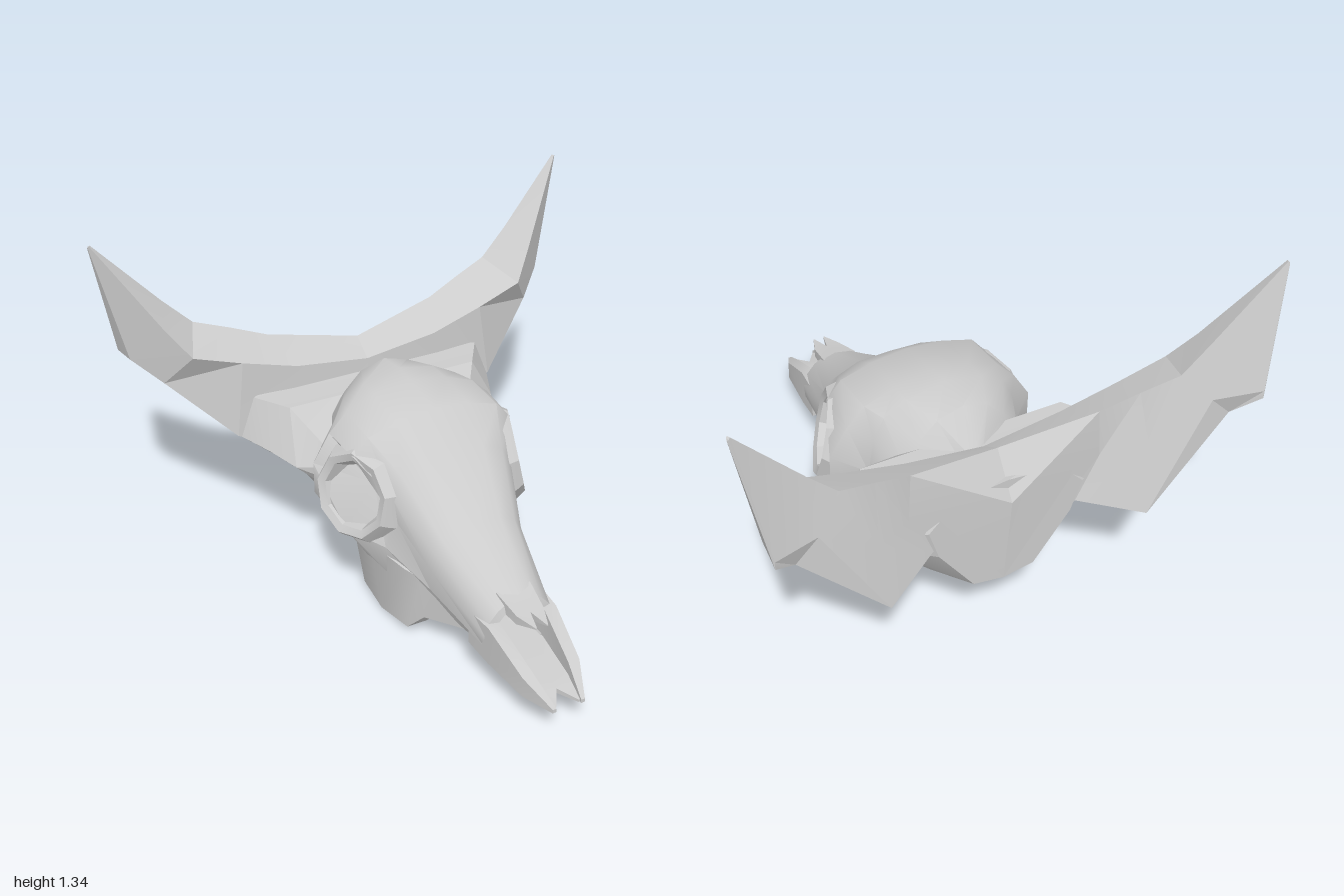
import * as THREE from 'three';
import { toCreasedNormals } from 'three/addons/utils/BufferGeometryUtils.js';

const material = new THREE.MeshStandardMaterial({ color: 0xcccccc, side: THREE.DoubleSide });

// Skin a row of equal-length rings of [x, y, z] points; rings run counter-clockwise about the direction of travel
function loft(rings, capStart = true) {
  const n = rings[0].length, pos = rings.flat(2), index = [];
  for (let i = 0; i < rings.length - 1; i++) {
    for (let j = 0; j < n; j++) {
      const k = (j + 1) % n, a = i * n + j, b = i * n + k, c = b + n, d = a + n;
      index.push(a, b, c, a, c, d);
    }
  }
  const cap = (r, flip) => {
    const centre = [0, 1, 2].map(k => rings[r].reduce((s, p) => s + p[k], 0) / n);
    const c = pos.length / 3;
    pos.push(...centre);
    for (let j = 0; j < n; j++) {
      const a = r * n + j, b = r * n + (j + 1) % n;
      index.push(...(flip ? [b, a, c] : [a, b, c]));
    }
  };
  if (capStart) cap(0, true);
  cap(rings.length - 1, false);
  const g = new THREE.BufferGeometry();
  g.setAttribute('position', new THREE.Float32BufferAttribute(pos, 3));
  g.setIndex(index);
  return g;
}

// Symmetric ring from a one-sided half profile listed top centre to bottom centre
const symmetricRing = (z, half) => [
  ...half.slice().reverse().map(([x, y]) => [x, y, z]),
  ...half.slice(1, -1).map(([x, y]) => [-x, y, z]),
];

// Four-sided ring for slim bones running along z
const barRing = ([z, xIn, xOut, yLow, yHigh, flare = 0]) => [
  [xIn, yLow, z], [xOut, yLow, z], [xOut + flare, yHigh, z], [xIn, yHigh, z],
];

function mirrored(geometry) {
  const g = geometry.clone().scale(-1, 1, 1), idx = g.index.array;
  for (let i = 0; i < idx.length; i += 3) [idx[i], idx[i + 1]] = [idx[i + 1], idx[i]];
  return g;
}

export function createModel() {
  const model = new THREE.Group();
  model.name = 'hornedSkull';

  const add = (name, geometry, crease = 0.5) => {
    geometry.deleteAttribute('normal');
    geometry.deleteAttribute('uv');
    const mesh = new THREE.Mesh(toCreasedNormals(geometry, crease), material);
    mesh.name = name;
    model.add(mesh);
  };
  const addPair = (name, geometry, crease) => {
    add('left' + name, geometry, crease);
    add('right' + name, mirrored(geometry), crease);
  };

  // Cranium, brow, cheeks and muzzle, turning inward at the front to form the nasal cavity
  const nose = [[0, 0.35], [0.05, 0.345], [0.09, 0.32], [0.125, 0.28], [0.142, 0.23], [0.14, 0.18], [0.1, 0.13], [0, 0.12]];
  const shrunk = s => nose.map(([x, y]) => [x * s, 0.23 + (y - 0.23) * s]);
  add('cranium', loft([
    symmetricRing(-0.56, [[0, 0.69], [0.03, 0.68], [0.06, 0.66], [0.12, 0.6], [0.16, 0.5], [0.16, 0.4], [0.1, 0.28], [0, 0.26]]),
    symmetricRing(-0.46, [[0, 0.81], [0.1, 0.78], [0.17, 0.71], [0.23, 0.63], [0.27, 0.52], [0.26, 0.4], [0.15, 0.21], [0, 0.2]]),
    symmetricRing(-0.33, [[0, 0.83], [0.15, 0.8], [0.24, 0.75], [0.28, 0.67], [0.3, 0.53], [0.29, 0.4], [0.2, 0.19], [0, 0.18]]),
    symmetricRing(-0.24, [[0, 0.82], [0.15, 0.795], [0.27, 0.75], [0.34, 0.68], [0.41, 0.57], [0.41, 0.44], [0.25, 0.22], [0, 0.18]]),
    symmetricRing(-0.05, [[0, 0.79], [0.15, 0.775], [0.27, 0.74], [0.33, 0.67], [0.25, 0.54], [0.37, 0.37], [0.28, 0.22], [0, 0.18]]),
    symmetricRing(0.1, [[0, 0.68], [0.13, 0.675], [0.21, 0.64], [0.25, 0.56], [0.24, 0.46], [0.28, 0.35], [0.25, 0.2], [0, 0.16]]),
    symmetricRing(0.3, [[0, 0.49], [0.09, 0.485], [0.15, 0.46], [0.18, 0.41], [0.195, 0.34], [0.2, 0.26], [0.15, 0.15], [0, 0.14]]),
    symmetricRing(0.6, nose),
    symmetricRing(0.61, shrunk(0.78)),
    symmetricRing(0.42, shrunk(0.6)),
  ]), 0.7);

  // Nasal bone points over the opening, and the forked upper jaw tip beneath it
  addPair('NasalBone', loft([
    [0.55, 0, 0.07, 0.31, 0.365], [0.67, 0, 0.055, 0.3, 0.335], [0.75, 0.02, 0.025, 0.32, 0.325],
  ].map(barRing)));
  addPair('JawTip', loft([
    [0.5, 0.08, 0.15, 0.14, 0.28], [0.62, 0.09, 0.14, 0.125, 0.28],
    [0.82, 0.07, 0.115, 0.11, 0.19], [0.94, 0.05, 0.065, 0.105, 0.12],
  ].map(barRing)));
  addPair('Palate', loft([
    [0.5, 0, 0.12, 0.135, 0.17], [0.82, 0, 0.1, 0.11, 0.14], [0.86, 0, 0.09, 0.11, 0.13], [0.93, 0.045, 0.065, 0.105, 0.115],
  ].map(barRing)));

  // Cheek teeth rows
  addPair('ToothRow', loft([
    [-0.27, 0.17, 0.22, 0.16, 0.28, 0.03], [-0.16, 0.17, 0.25, 0.02, 0.3, 0.04], [0, 0.18, 0.255, 0, 0.32, 0.045],
    [0.19, 0.16, 0.24, 0.03, 0.3, 0.01], [0.25, 0.12, 0.2, 0.1, 0.28, 0.01], [0.45, 0.05, 0.11, 0.14, 0.2, 0],
  ].map(barRing)), 0.6);

  // Eye sockets: a rim blending into brow and cheek around a sunken bowl, facing out, forward and a little up
  const socket = new THREE.LatheGeometry(
    [[0.23, -0.11], [0.185, -0.02], [0.165, 0.01], [0.135, 0], [0.11, -0.07], [0, -0.09]].map(p => new THREE.Vector2(...p)), 9);
  socket.applyQuaternion(new THREE.Quaternion().setFromUnitVectors(
    new THREE.Vector3(0, 1, 0), new THREE.Vector3(0.9, 0.2, 0.39).normalize()));
  socket.translate(0.345, 0.52, -0.04);
  addPair('EyeSocket', socket, 0.3);

  // Back of the skull: flaring temples above, narrowing to a rounded base
  add('backOfSkull', loft([
    symmetricRing(-0.78, [[0, 0.72], [0.2, 0.7], [0.3, 0.6], [0.26, 0.48], [0.12, 0.29], [0, 0.27]]),
    symmetricRing(-0.61, [[0, 0.69], [0.49, 0.69], [0.55, 0.53], [0.39, 0.43], [0.2, 0.25], [0, 0.22]]),
    symmetricRing(-0.47, [[0, 0.69], [0.4, 0.69], [0.49, 0.52], [0.37, 0.41], [0.2, 0.21], [0, 0.19]]),
    symmetricRing(-0.36, [[0, 0.6], [0.32, 0.57], [0.43, 0.49], [0.34, 0.4], [0.2, 0.18], [0, 0.17]]),
    symmetricRing(-0.31, [[0, 0.58], [0.26, 0.55], [0.3, 0.48], [0.28, 0.4], [0.19, 0.19], [0, 0.18]]),
  ]), 0.3);

  // Horns: rings list back, top, front, lower front and underside
  addPair('Horn', loft([
    [[0, 0.64, -0.81], [0, 0.8, -0.7], [0, 0.74, -0.61], [0, 0.4, -0.58], [0, 0.27, -0.78]],
    [[0.37, 0.68, -0.77], [0.36, 0.865, -0.76], [0.3, 0.78, -0.61], [0.36, 0.47, -0.6], [0.28, 0.51, -0.775]],
    [[0.52, 0.7, -0.85], [0.5, 0.915, -0.79], [0.52, 0.84, -0.625], [0.56, 0.53, -0.62], [0.5, 0.46, -0.9]],
    [[0.74, 0.86, -0.88], [0.64, 0.96, -0.82], [0.71, 0.9, -0.64], [0.8, 0.77, -0.74], [0.82, 0.78, -0.88]],
    [[0.91, 0.88, -0.94], [0.75, 1.07, -0.83], [0.79, 1.01, -0.7], [0.9, 0.86, -0.82], [0.91, 0.85, -0.94]],
    [[0.995, 1.33, -0.865], [0.99, 1.335, -0.86], [0.995, 1.335, -0.85], [1, 1.33, -0.855], [1, 1.325, -0.86]],
  ], false), 0.25);

  return model;
}
